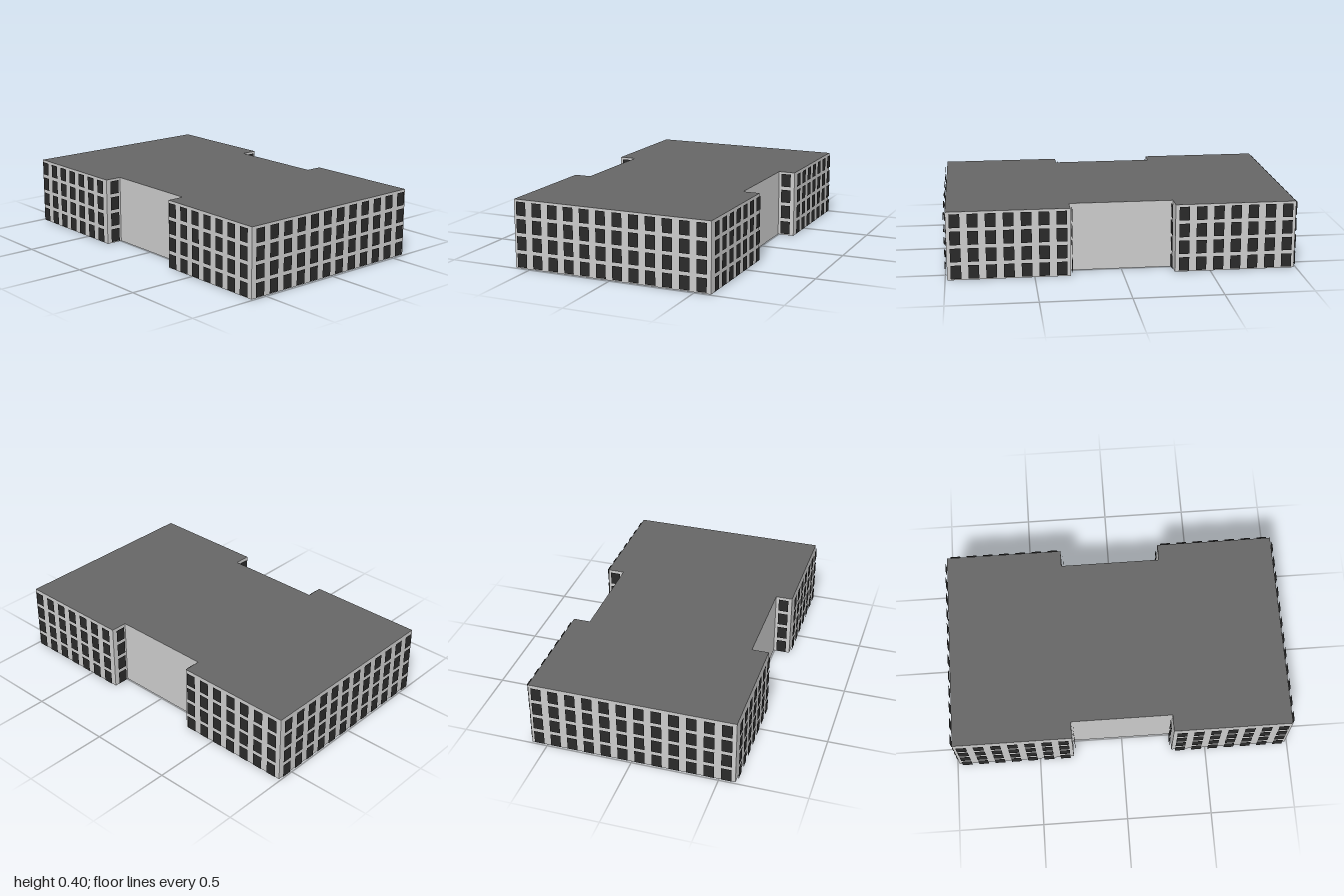
import * as THREE from 'three';

const CELL = 0.0988; // one window bay
const FLOORS = 4;
const HEIGHT = FLOORS * CELL;
const PANE_GAP = 0.012; // panes stand just off the wall

// Footprint corners (x, z) in bays, walking with the outside on the right
const CORNERS = [
  [-6, 10], [6, 10], [6, 3], [5, 3], [5, -3], [6, -3],
  [6, -10], [-6, -10], [-6, -3], [-5, -3], [-5, 3], [-6, 3],
];

export function createModel() {
  const building = new THREE.Group();
  building.name = 'building';

  const wallMat = new THREE.MeshStandardMaterial({ color: 0xcccccc });
  const slabMat = new THREE.MeshStandardMaterial({ color: 0x666666 });
  const glassMat = new THREE.MeshStandardMaterial({ color: 0x2a2a2a, side: THREE.DoubleSide });

  const add = (parent, name, geometry, material) => {
    const mesh = new THREE.Mesh(geometry, material);
    mesh.name = name;
    parent.add(mesh);
    return mesh;
  };

  // Flat roof and underside share the footprint outline
  const outline = new THREE.Shape(CORNERS.map(([x, z]) => new THREE.Vector2(x * CELL, -z * CELL)));
  const slab = new THREE.ShapeGeometry(outline);
  const roof = add(building, 'roof', slab, slabMat);
  roof.rotation.x = -Math.PI / 2;
  roof.position.y = HEIGHT;
  add(building, 'floor', slab, slabMat).rotation.x = Math.PI / 2;

  const paneGeo = new THREE.PlaneGeometry(CELL * 0.6, CELL * 0.8);

  // One facade per footprint edge; each faces local +z
  CORNERS.forEach(([x0, z0], i) => {
    const [x1, z1] = CORNERS[(i + 1) % CORNERS.length];
    const bays = Math.hypot(x1 - x0, z1 - z0);

    const facade = new THREE.Group();
    facade.name = 'facade';
    facade.position.set((x0 + x1) / 2 * CELL, 0, (z0 + z1) / 2 * CELL);
    facade.rotation.y = Math.atan2(z0 - z1, x1 - x0);
    building.add(facade);

    add(facade, 'wall', new THREE.PlaneGeometry(bays * CELL, HEIGHT), wallMat).position.y = HEIGHT / 2;

    // The recessed middle walls are blank
    if (Math.abs(x0) === 5 && x0 === x1) return;

    for (let bay = 0; bay < bays; bay++) {
      for (let floor = 0; floor < FLOORS; floor++) {
        add(facade, 'window', paneGeo, glassMat)
          .position.set((bay + 0.5 - bays / 2) * CELL, (floor + 0.5) * CELL, PANE_GAP);
      }
    }
  });

  return building;
}
